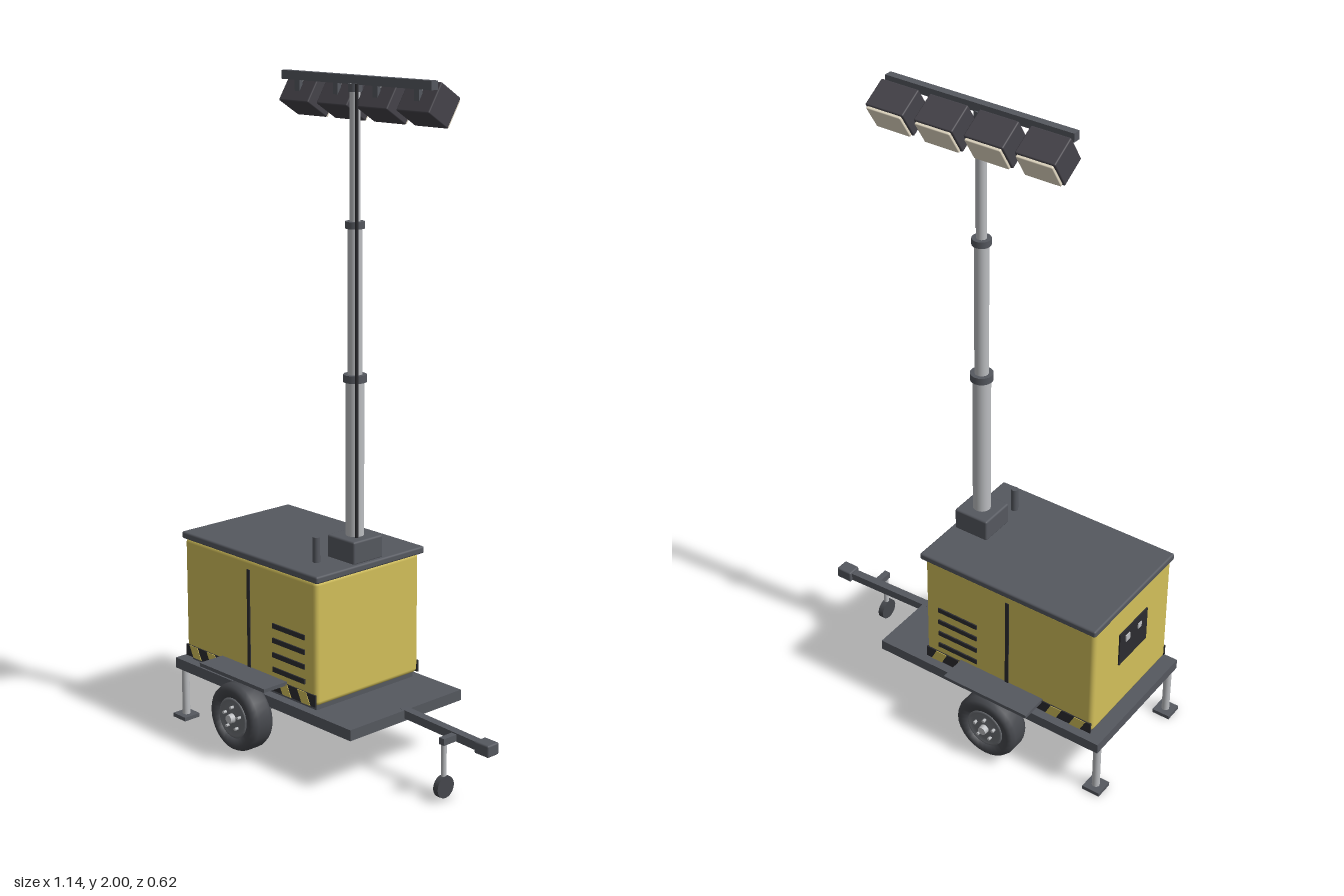
import * as THREE from 'three';
import { RoundedBoxGeometry } from 'three/addons/geometries/RoundedBoxGeometry.js';

const mat = (name, color, side = THREE.FrontSide) => {
  const m = new THREE.MeshStandardMaterial({ color, side });
  m.name = name;
  return m;
};

export function createModel() {
  const model = new THREE.Group();
  model.name = 'lightTower';
  const yellow = mat('yellow paint', 0xd2bf5a);
  const frame = mat('dark grey frame', 0x55585f);
  const steel = mat('galvanised steel', 0xbcbec1);
  const black = mat('black', 0x2c2c30);
  const rubber = mat('tyre rubber', 0x45474c);
  const hubGrey = mat('wheel hub grey', 0x6b6e73);
  const housing = mat('lamp housing', 0x45434a);
  const lens = mat('lamp lens', 0xe6dcc6);

  const add = (name, geo, material, x, y, z, parent = model) => {
    const m = new THREE.Mesh(geo, material);
    m.name = name;
    m.position.set(x, y, z);
    parent.add(m);
    return m;
  };
  const box = (name, w, h, d, material, x, y, z, parent) =>
    add(name, new THREE.BoxGeometry(w, h, d), material, x, y, z, parent);
  const rbox = (name, w, h, d, r, material, x, y, z, parent) =>
    add(name, new RoundedBoxGeometry(w, h, d, 2, r), material, x, y, z, parent);
  // Upright cylinder between two heights
  const post = (name, r, y0, y1, material, x, z, parent) =>
    add(name, new THREE.CylinderGeometry(r, r, y1 - y0, 20), material, x, (y0 + y1) / 2, z, parent);

  // Trailer deck and tow bar
  box('deck', 0.79, 0.033, 0.45, frame, -0.163, 0.182, 0);
  box('bodySkid', 0.57, 0.025, 0.39, frame, -0.227, 0.207, 0);
  const bar = box('towBar', 0.32, 0.025, 0.026, frame, 0.375, 0.181, -0.003);
  bar.rotation.z = -0.035;
  rbox('hitch', 0.054, 0.036, 0.045, 0.005, frame, 0.543, 0.177, -0.003);

  // Jockey wheel
  box('jockeyBracket', 0.02, 0.02, 0.06, frame, 0.43, 0.178, 0.03);
  post('jockeyPost', 0.008, 0.04, 0.185, steel, 0.43, 0.05);
  const jockey = add('jockeyWheel', new THREE.CylinderGeometry(0.033, 0.033, 0.018, 20), rubber, 0.43, 0.04, 0.05);
  jockey.rotation.z = Math.PI / 2;

  // Wheel, with its axis along z and the outer side towards +z
  const tyreProfile = [
    [0.062, -0.034], [0.085, -0.041], [0.098, -0.036], [0.104, -0.022],
    [0.104, 0.022], [0.098, 0.036], [0.085, 0.041], [0.062, 0.034], [0.062, -0.034],
  ].map(([r, y]) => new THREE.Vector2(r, y));
  const hubProfile = [
    [0, -0.03], [0.063, -0.03], [0.063, 0.034], [0.055, 0.036], [0.046, 0.03], [0.024, 0.036], [0, 0.036],
  ].map(([r, y]) => new THREE.Vector2(r, y));
  const makeWheel = () => {
    const wheel = new THREE.Group();
    wheel.name = 'wheel';
    const tyre = add('tyre', new THREE.LatheGeometry(tyreProfile, 28), rubber, 0, 0, 0, wheel);
    const hub = add('hub', new THREE.LatheGeometry(hubProfile, 28), hubGrey, 0, 0, 0, wheel);
    const cap = add('hubCap', new THREE.CylinderGeometry(0.013, 0.015, 0.018, 16), steel, 0, 0, 0.043, wheel);
    for (const part of [tyre, hub, cap]) part.rotation.x = Math.PI / 2;
    for (let i = 0; i < 5; i++) {
      const a = (i / 5) * Math.PI * 2 + Math.PI / 2;
      const nut = add('wheelNut', new THREE.CylinderGeometry(0.005, 0.005, 0.012, 6), steel,
        Math.cos(a) * 0.034, Math.sin(a) * 0.034, 0.039, wheel);
      nut.rotation.x = Math.PI / 2;
    }
    return wheel;
  };
  const axle = add('axle', new THREE.CylinderGeometry(0.012, 0.012, 0.46, 16), steel, -0.205, 0.123, 0);
  axle.rotation.x = Math.PI / 2;
  box('axleMount', 0.05, 0.05, 0.03, frame, -0.205, 0.15, 0.19);
  box('axleMount', 0.05, 0.05, 0.03, frame, -0.205, 0.15, -0.19);

  // Cabinet with an overhanging roof
  rbox('cabinet', 0.595, 0.378, 0.414, 0.014, yellow, -0.227, 0.403, 0);
  rbox('roof', 0.612, 0.022, 0.432, 0.006, frame, -0.225, 0.6, -0.003);

  // Slanted yellow mark on the hazard band
  const mark = new THREE.Shape();
  mark.moveTo(0.018, 0);
  mark.lineTo(0.056, 0);
  mark.lineTo(0.038, 0.036);
  mark.lineTo(0, 0.036);
  const markGeo = new THREE.ExtrudeGeometry(mark, { depth: 0.002, bevelEnabled: false });
  markGeo.translate(0, 0, -0.001);

  // Parts on both long sides
  for (const s of [1, -1]) {
    const wheel = makeWheel();
    wheel.position.set(-0.205, 0.123, s * 0.257);
    if (s < 0) wheel.rotation.y = Math.PI;
    model.add(wheel);
    box('fender', 0.295, 0.011, 0.09, frame, -0.205, 0.251, s * 0.25);
    post('stabiliserLeg', 0.012, 0.008, 0.17, steel, -0.543, s * 0.2);
    box('stabiliserFoot', 0.058, 0.012, 0.058, frame, -0.543, 0.006, s * 0.2);

    box('doorSeam', 0.012, 0.305, 0.006, black, -0.225, 0.408, s * 0.207);
    for (let i = 0; i < 4; i++) {
      box('ventSlot', 0.14, 0.015, 0.009, black, -0.047, 0.28 + i * 0.045, s * 0.207);
    }
    box('hazardBand', 0.59, 0.036, 0.006, black, -0.227, 0.232, s * 0.208);
    for (let i = 0; i < 7; i++) {
      add('hazardMark', markGeo, yellow, -0.505 + i * 0.083, 0.214, s * 0.2115);
    }
  }

  // Control panel on the end wall
  box('controlPanel', 0.008, 0.115, 0.15, black, -0.525, 0.44, 0);
  box('panelGauge', 0.004, 0.022, 0.022, steel, -0.53, 0.465, -0.035);
  box('panelSwitch', 0.004, 0.018, 0.018, steel, -0.53, 0.465, 0.03);

  // Exhaust and telescopic mast
  const mx = 0.012;
  post('exhaust', 0.011, 0.6, 0.687, frame, -0.026, 0.117);
  rbox('mastBase', 0.115, 0.07, 0.116, 0.006, frame, mx, 0.643, 0);
  post('mastLower', 0.027, 0.67, 1.145, steel, mx, 0);
  post('mastMiddle', 0.021, 1.145, 1.585, steel, mx, 0);
  post('mastUpper', 0.015, 1.585, 1.975, steel, mx, 0);
  post('mastCollar', 0.034, 1.134, 1.156, frame, mx, 0);
  post('mastCollar', 0.028, 1.574, 1.594, frame, mx, 0);
  post('mastHead', 0.02, 1.952, 1.975, frame, mx, 0);
  post('mastCable', 0.005, 0.67, 1.975, black, 0.038, 0.018);

  // Lamp bar with four lamps tilted down towards the back
  box('lampBar', 0.6, 0.025, 0.024, frame, 0.015, 1.985, -0.003);
  for (let i = 0; i < 4; i++) {
    const lamp = new THREE.Group();
    lamp.name = 'lamp';
    lamp.position.set(-0.225 + i * 0.1595, 1.929, -0.044);
    lamp.rotation.x = -0.56;
    rbox('lampHousing', 0.124, 0.094, 0.088, 0.004, housing, 0, 0, 0.002, lamp);
    rbox('lampLens', 0.112, 0.084, 0.014, 0.003, lens, 0, 0, -0.043, lamp);
    const bolt = add('lampBolt', new THREE.CylinderGeometry(0.007, 0.007, 0.03, 12), steel, 0, 0.018, 0.04, lamp);
    bolt.rotation.x = Math.PI / 2;
    model.add(lamp);
    box('lampBracket', 0.02, 0.05, 0.012, frame, lamp.position.x, 1.962, -0.003);
  }
  return model;
}
